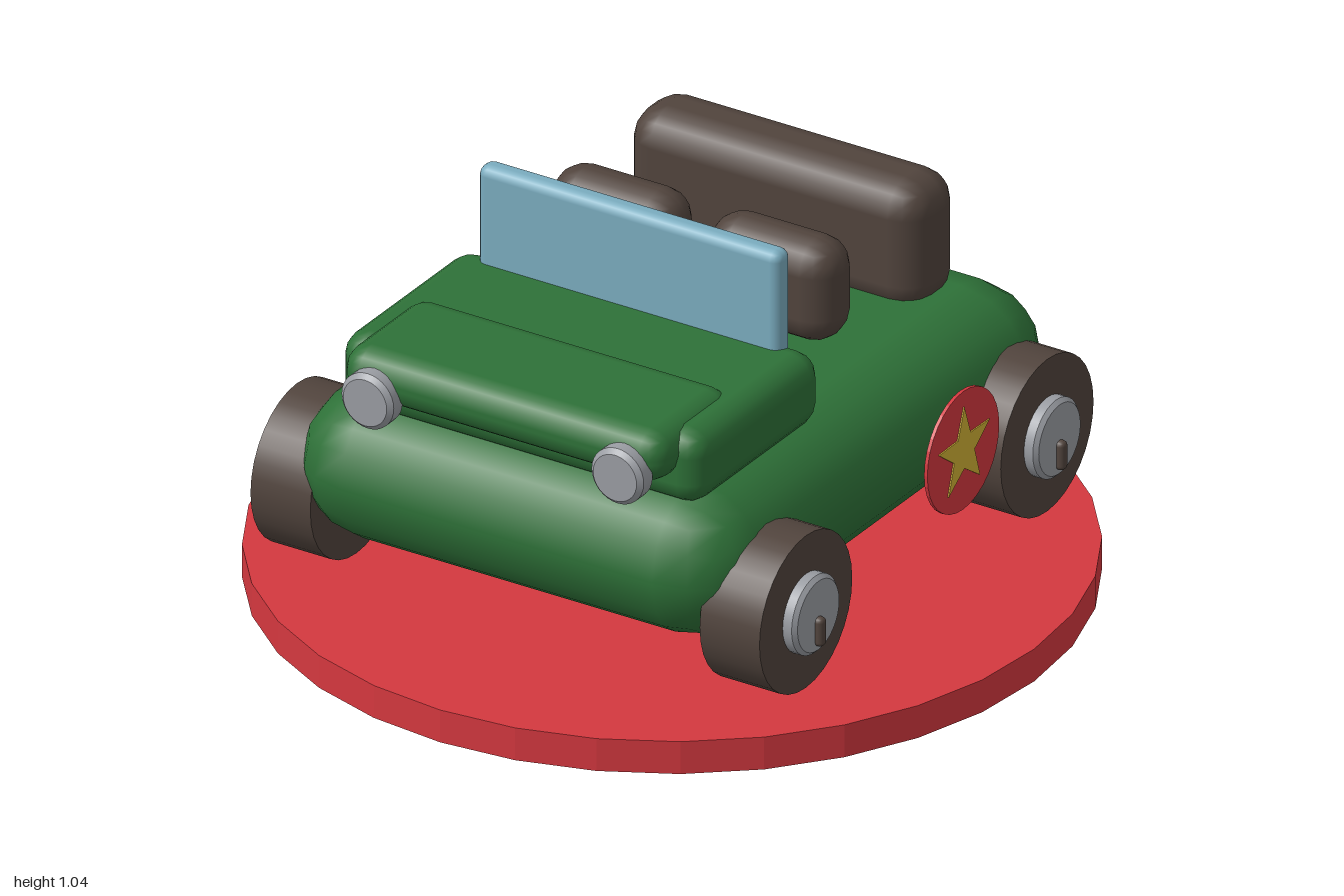
import * as THREE from 'three';
import { RoundedBoxGeometry } from 'three/addons/geometries/RoundedBoxGeometry.js';

const material = (name, color, flatShading = false) => {
  const m = new THREE.MeshStandardMaterial({ color });
  m.name = name;
  m.flatShading = flatShading;
  return m;
};

export function createModel() {
  const green = material('body green', 0x2e7138);
  const red = material('red', 0xd4383f, true);
  const brown = material('dark brown', 0x51443d);
  const grey = material('metal grey', 0x9a9da3);
  const blue = material('glass blue', 0x7aacbf);
  const yellow = material('star yellow', 0xd0b034);

  const model = new THREE.Group();
  model.name = 'toyCar';

  const add = (name, geometry, mat, x, y, z, parent = model) => {
    const mesh = new THREE.Mesh(geometry, mat);
    mesh.name = name;
    mesh.position.set(x, y, z);
    parent.add(mesh);
    return mesh;
  };
  const rounded = (name, mat, size, radius, pos, segments = 2) =>
    add(name, new RoundedBoxGeometry(...size, segments, radius), mat, ...pos);

  // Disc with a bevelled outer rim, from h = 0 to h = height along y
  const bevelDisc = (radius, height, bevel) => {
    const corner = (r, h) => new THREE.Vector2(r, h);
    return new THREE.LatheGeometry([
      corner(0, 0), corner(radius, 0), corner(radius, 0), corner(radius, height - bevel),
      corner(radius, height - bevel), corner(radius - bevel, height),
      corner(radius - bevel, height), corner(0, height),
    ], 32);
  };

  // Round base
  add('base', new THREE.CylinderGeometry(1, 1, 0.085, 32), red, 0, 0.0425, 0);

  // Body and bonnet
  rounded('body', green, [1.24, 0.385, 1.52], 0.19, [0, 0.4325, 0]);
  rounded('bonnet', green, [1.0, 0.19, 0.55], 0.06, [0, 0.69, 0.395]);
  rounded('bonnetFront', green, [0.89, 0.13, 0.35], 0.06, [0, 0.735, 0.575]);

  // Windscreen
  rounded('windscreen', blue, [0.835, 0.42, 0.06], 0.025, [0, 0.828, 0.163]);

  // Seats
  for (const side of [-1, 1])
    rounded('frontSeat', brown, [0.355, 0.262, 0.157], 0.075, [side * 0.218, 0.79, -0.124]);
  rounded('rearSeat', brown, [0.815, 0.335, 0.205], 0.08, [0, 0.748, -0.518]);

  // Headlights
  const lamp = bevelDisc(0.072, 0.05, 0.012).rotateX(Math.PI / 2);
  for (const side of [-1, 1]) add('headlight', lamp, grey, side * 0.345, 0.698, 0.735);

  // Wheels, built facing +x and turned round for the other side
  const tyre = new THREE.CylinderGeometry(0.2, 0.2, 0.165, 32).rotateZ(-Math.PI / 2);
  const hub = bevelDisc(0.1, 0.037, 0.01).rotateZ(-Math.PI / 2);
  const nub = new RoundedBoxGeometry(0.06, 0.075, 0.028, 2, 0.012);
  for (const side of [-1, 1]) {
    for (const z of [-0.52, 0.52]) {
      const wheel = new THREE.Group();
      wheel.name = z > 0 ? 'frontWheel' : 'rearWheel';
      wheel.position.set(side * 0.62, 0.33, z);
      wheel.rotation.y = side > 0 ? 0 : Math.PI;
      add('tyre', tyre, brown, 0, 0, 0, wheel);
      add('hubcap', hub, grey, 0.08, 0, 0, wheel);
      add('hubNub', nub, brown, 0.105, -0.04, 0, wheel);
      model.add(wheel);
    }
  }

  // Round badge with a star, standing off the left side
  const badge = new THREE.Group();
  badge.name = 'badge';
  badge.position.set(0.724, 0.477, -0.118);
  badge.rotation.y = Math.PI / 2;
  model.add(badge);
  const disc = new THREE.CylinderGeometry(0.155, 0.155, 0.009, 32).rotateX(Math.PI / 2);
  add('badgeDisc', disc, red, 0, 0, 0, badge);
  const star = new THREE.Shape(Array.from({ length: 10 }, (_, i) => {
    const r = i % 2 ? 0.046 : 0.115;
    const a = Math.PI / 2 + i * Math.PI / 5;
    return new THREE.Vector2(r * Math.cos(a), r * Math.sin(a));
  }));
  const starGeometry = new THREE.ExtrudeGeometry(star, { depth: 0.004, bevelEnabled: false });
  add('badgeStar', starGeometry, yellow, 0, 0, 0.004, badge);

  return model;
}
